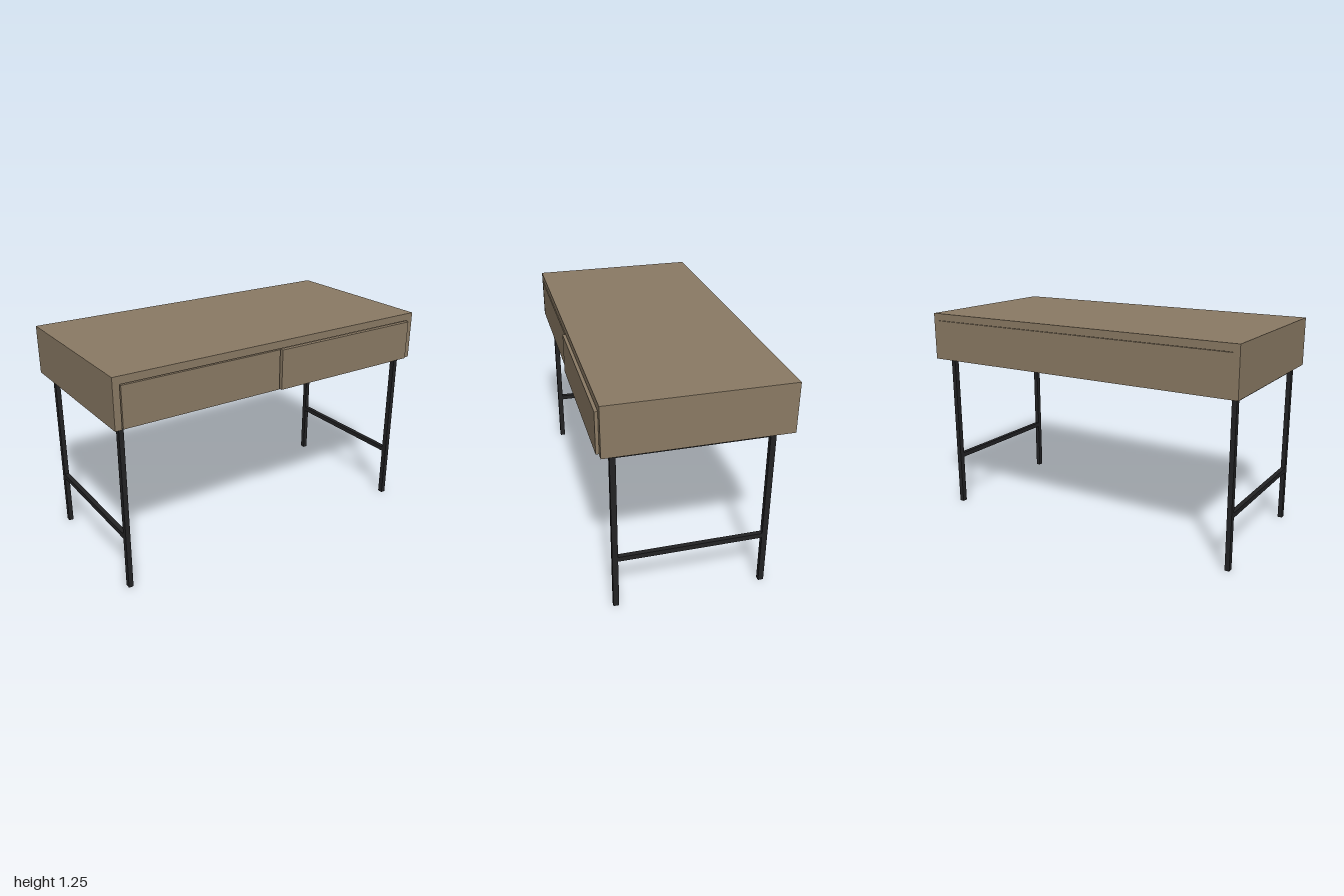
import * as THREE from 'three';

export function createModel() {
  const desk = new THREE.Group();
  desk.name = 'desk';

  const wood = new THREE.MeshStandardMaterial({ color: 0x8a7a64 });
  wood.name = 'brown wood';
  const metal = new THREE.MeshStandardMaterial({ color: 0x222224 });
  metal.name = 'black metal';

  // Box given by its lower and upper limits on each axis
  function box(name, material, [x0, x1], [y0, y1], [z0, z1], parent = desk) {
    const mesh = new THREE.Mesh(new THREE.BoxGeometry(x1 - x0, y1 - y0, z1 - z0), material);
    mesh.position.set((x0 + x1) / 2, (y0 + y1) / 2, (z0 + z1) / 2);
    mesh.name = name;
    parent.add(mesh);
    return mesh;
  }

  // Carcass: top slab, side panels, back and bottom panels
  const back = -0.507, front = 0.492;
  box('tableTop', wood, [-1, 1], [1.207, 1.25], [back, front]);
  box('rightSidePanel', wood, [-1, -0.962], [0.968, 1.207], [back, front]);
  box('leftSidePanel', wood, [0.962, 1], [0.968, 1.207], [back, front]);
  box('backPanel', wood, [-0.962, 0.962], [0.968, 1.205], [back, back + 0.038]);
  box('bottomPanel', wood, [-0.962, 0.962], [0.968, 0.985], [back + 0.038, 0.47]);

  // Two drawers, the left one pulled out slightly
  for (const [name, x0, x1, z] of [
    ['rightDrawer', -0.957, -0.004, 0.495],
    ['leftDrawer', 0.004, 0.957, 0.508],
  ]) {
    const drawer = new THREE.Group();
    drawer.name = name;
    desk.add(drawer);
    box('drawerFront', wood, [x0, x1], [0.971, 1.202], [z - 0.025, z], drawer);
    box('drawerBox', wood, [x0 + 0.02, x1 - 0.02], [0.99, 1.17], [-0.44, z - 0.025], drawer);
  }

  // Leg frames: two legs, a top rail and a low stretcher on each side
  for (const [side, x] of [['right', -0.946], ['left', 0.946]]) {
    const frame = new THREE.Group();
    frame.name = side + 'LegFrame';
    desk.add(frame);
    const width = [x - 0.0135, x + 0.0135];
    box('frontLeg', metal, width, [0, 0.938], [0.412, 0.443], frame);
    box('backLeg', metal, width, [0, 0.938], [-0.421, -0.39], frame);
    box('topRail', metal, width, [0.938, 0.968], [-0.421, 0.443], frame);
    box('stretcher', metal, width, [0.3, 0.328], [-0.39, 0.412], frame);
  }

  return desk;
}
